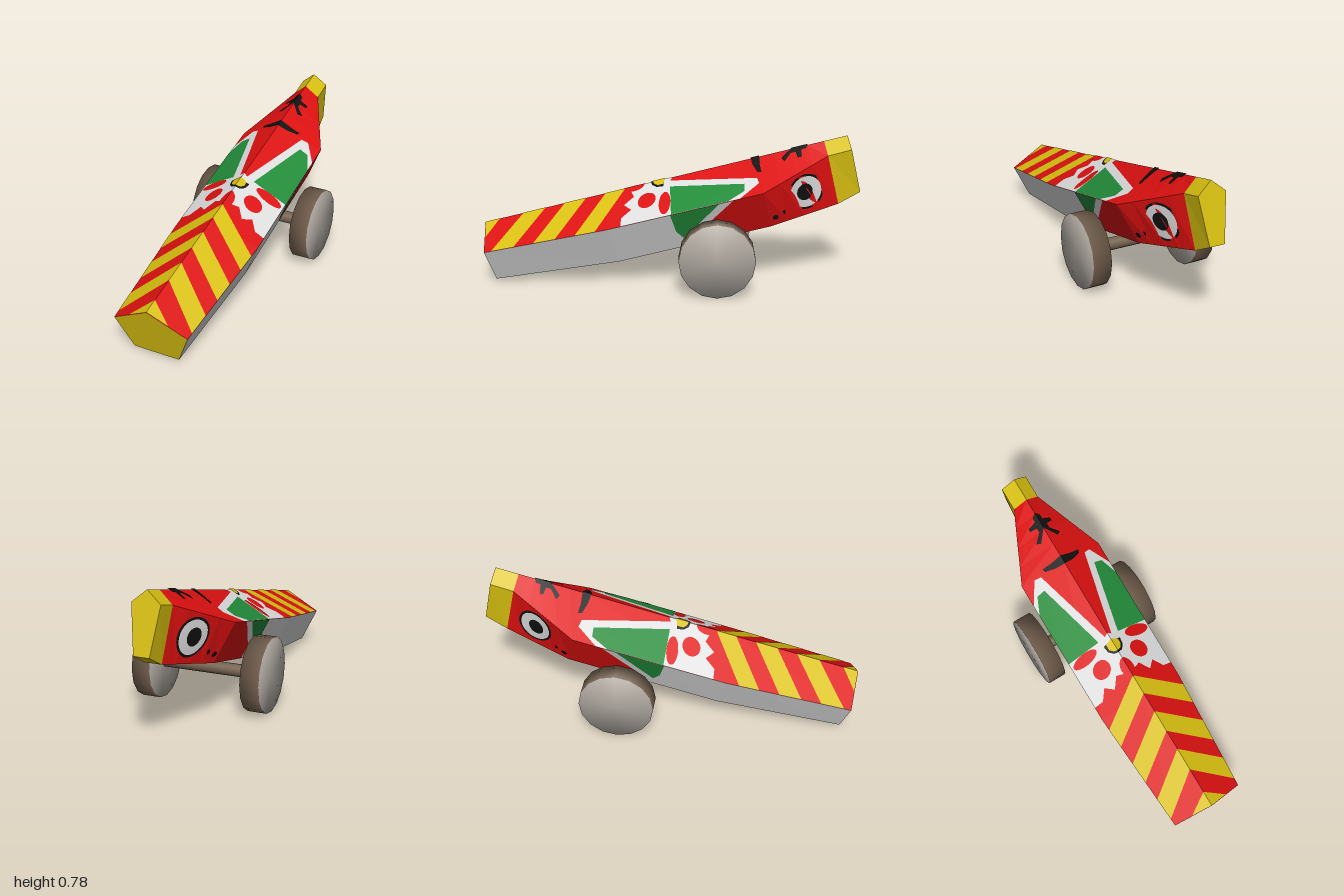
import * as THREE from 'three';
import { mergeVertices } from 'three/addons/utils/BufferGeometryUtils.js';

const COLORS = {
  red: 0xdc1010, yellow: 0xd8c010, green: 0x238c3a, white: 0xdedede,
  black: 0x101010, brown: 0x75614f, hubGrey: 0xb0a9a1,
};

// The body is a tilted prism: s runs along the straight ridge, d is the depth below it.
const TILT = 0.25, C = Math.cos(TILT), S = Math.sin(TILT);
const place = (x, s, d) => [x, 0.29 + s * S - d * C, 1 - s * C - d * S];

// Cross-sections: s, side half width, side depth, belly half width, belly depth
const SECTIONS = [
  [0, 0.2, 0.109, 0.123, 0.288],
  [0.669, 0.24, 0.13, 0.147, 0.342],
  [1.493, 0.24, 0.133, 0.147, 0.342],
  [1.86, 0.073, 0.064, 0.045, 0.338],
  [1.985, 0.073, 0.062, 0.04, 0.303],
];
const SHELL_SPLIT = 1.12, SNOUT = 1.86, END = 1.985;

function sectionAt(s) {
  s = Math.min(Math.max(s, 0), END);
  let i = 0;
  while (i < SECTIONS.length - 2 && s > SECTIONS[i + 1][0]) i++;
  const a = SECTIONS[i], b = SECTIONS[i + 1], t = (s - a[0]) / (b[0] - a[0]);
  return a.map((v, k) => THREE.MathUtils.lerp(v, b[k], t));
}

// Five corners of a section: ridge, side, belly, belly, side
function corners(s) {
  const [, xs, ds, xb, db] = sectionAt(s);
  return [[0, 0], [xs, ds], [xb, db], [-xb, db], [-xs, ds]].map(([x, d]) => place(x, s, d));
}

function fromTriangles(p) {
  const g = new THREE.BufferGeometry();
  g.setAttribute('position', new THREE.Float32BufferAttribute(p.flat(), 3));
  g.computeVertexNormals();
  return g;
}

// Chosen faces (0 and 4 roof, 1 and 3 sides, 2 belly) lofted through stations
function loft(stations, faces) {
  const p = [];
  for (let i = 0; i < stations.length - 1; i++) {
    const A = corners(stations[i]), B = corners(stations[i + 1]);
    for (const f of faces) {
      const n = (f + 1) % 5;
      p.push(A[f], A[n], B[n], A[f], B[n], B[f]);
    }
  }
  return fromTriangles(p);
}

function cap(s, back) {
  const P = corners(s), p = [];
  for (let i = 1; i < 4; i++) p.push(P[0], back ? P[i] : P[i + 1], back ? P[i + 1] : P[i]);
  return fromTriangles(p);
}

// Paint mappings: flat (x, -z) onto the roof, flat (-z, y) onto the side
function onRoof(x, u, lift) {
  let s = (1 + u) / C, d = 0;
  for (let i = 0; i < 3; i++) {
    const [, w, drop] = sectionAt(s);
    x = Math.min(x, w);
    d = drop * x / w;
    s = Math.max((1 + u - d * S) / C, 0);
  }
  return place(x, s, d - lift);
}

function onSide(u, y, lift) {
  const s = (1 + u) * C + (y - 0.29) * S;
  const [, xs, ds, xb, db] = sectionAt(s);
  const d = THREE.MathUtils.clamp((1 + u) * S - (y - 0.29) * C, ds, db);
  return place(THREE.MathUtils.lerp(xs, xb, (d - ds) / (db - ds)) + lift, s, d);
}

// Flat outlines; coordinates are (x, z) on the roof and (z, y) on the side
const roofShape = (pts) => new THREE.ShapeGeometry(new THREE.Shape(pts.map(([x, z]) => new THREE.Vector2(x, -z))));
const sideShape = (pts) => new THREE.ShapeGeometry(new THREE.Shape(pts.map(([z, y]) => new THREE.Vector2(-z, y))));
const disc = (u, v, ru, rv, half = false) =>
  new THREE.RingGeometry(0, 1, half ? 14 : 28, 4, half ? -Math.PI / 2 : 0, half ? Math.PI : Math.PI * 2)
    .scale(ru, rv, 1).translate(u, v, 0);

export function createModel() {
  const model = new THREE.Group();
  model.name = 'wheeledAnimalToy';
  const mat = {};
  for (const [name, color] of Object.entries(COLORS)) {
    mat[name] = new THREE.MeshStandardMaterial({ color });
    mat[name].name = name;
  }
  const add = (name, geometry, material) => {
    const mesh = new THREE.Mesh(geometry, material);
    mesh.name = name;
    model.add(mesh);
    return mesh;
  };

  // Body
  const head = [1.493, 1.585, 1.677, 1.768, SNOUT];
  add('roof', loft([0, 0.669, ...head], [0, 4]), mat.red);
  add('rearShell', loft([0, 0.669, SHELL_SPLIT], [1, 2, 3]), mat.white);
  add('headShell', loft([SHELL_SPLIT, ...head], [1, 2, 3]), mat.red);
  add('lowEnd', cap(0, false), mat.yellow);
  add('snout', loft([SNOUT, END], [0, 1, 2, 3, 4]), mat.yellow);
  add('snoutEnd', cap(END, true), mat.yellow);

  // Mirrored painted plates
  const paint = (name, flat, map, layer, material) => {
    for (const sign of [1, -1]) {
      const g = flat.clone(), pos = g.attributes.position;
      for (let i = 0; i < pos.count; i++) {
        const [x, y, z] = map(pos.getX(i), pos.getY(i), 0.0015 + 0.0015 * layer);
        pos.setXYZ(i, x * sign, y, z);
      }
      if (sign < 0) {
        const a = g.index.array;
        for (let i = 0; i < a.length; i += 3) [a[i], a[i + 1]] = [a[i + 1], a[i]];
      }
      g.computeVertexNormals();
      add(name + (sign > 0 ? 'Left' : 'Right'), g, material);
    }
  };

  // Chevron stripes
  for (const [a, b] of [[0.24, 0.345], [0.45, 0.565], [0.67, 0.79]]) {
    paint('stripe', roofShape([[0, a], [0.24, a + 0.144], [0.24, b + 0.144], [0, b]]), onRoof, 0, mat.yellow);
  }
  paint('endStripe', roofShape([[0, 0.92], [0.105, 0.983], [0, 0.998]]), onRoof, 0, mat.yellow);

  // Chest markings
  paint('chest', roofShape([[0, -0.01], [0.02, 0], [0.135, -0.45], [0.17, -0.46], [0.24, -0.36],
    [0.24, 0.25], [0.19, 0.25], [0.15, 0.2], [0.11, 0.24], [0.07, 0.19], [0, 0.22]]), onRoof, 0, mat.white);
  paint('wing', roofShape([[0.06, 0], [0.155, -0.385], [0.2, -0.385], [0.24, -0.3], [0.24, -0.01]]), onRoof, 1, mat.green);
  paint('upperSpot', disc(0.16, -0.025, 0.07, 0.03), onRoof, 2, mat.red);
  paint('spot', disc(0.115, -0.12, 0.047, 0.047), onRoof, 1, mat.red);
  paint('middleSpot', disc(0, -0.19, 0.036, 0.055, true), onRoof, 1, mat.red);
  paint('badgeOutline', roofShape([[0, 0.03], [0.05, 0.035], [0.045, 0.07], [0.025, 0.095], [0, 0.103]]), onRoof, 2, mat.black);
  paint('badge', roofShape([[0, 0.025], [0.036, 0.035], [0.036, 0.065], [0.02, 0.085], [0, 0.092]]), onRoof, 3, mat.yellow);

  // Mouth and nose marks
  paint('mouth', roofShape([[0, -0.468], [0.06, -0.468], [0.11, -0.475], [0.105, -0.455],
    [0.05, -0.432], [0, -0.422]]), onRoof, 3, mat.black);
  paint('noseMark', roofShape([[0, -0.72], [0.022, -0.71], [0.022, -0.685], [0.065, -0.682], [0.065, -0.665],
    [0.03, -0.655], [0.03, -0.63], [0.072, -0.595], [0.05, -0.58], [0, -0.635]]), onRoof, 3, mat.black);

  // Side markings
  paint('sideBand', sideShape([[-0.1, 0.46], [-0.32, 0.52], [-0.15, 0.3], [-0.1, 0.3]]), onSide, 0, mat.white);
  paint('sideWing', sideShape([[0, 0.43], [-0.25, 0.5], [-0.075, 0.267], [-0.035, 0.31]]), onSide, 1, mat.green);

  // Eyes and small dots
  paint('eyeOutline', disc(0.706, 0.508, 0.095, 0.098), onSide, 0, mat.black);
  paint('eyeWhite', disc(0.706, 0.508, 0.083, 0.086), onSide, 1, mat.white);
  paint('pupil', disc(0.7, 0.508, 0.042, 0.046), onSide, 2, mat.black);
  paint('cheekDot', disc(0.55, 0.38, 0.015, 0.014), onSide, 1, mat.black);
  paint('cheekDotSmall', disc(0.593, 0.405, 0.009, 0.013), onSide, 1, mat.black);

  // Wheels and axle
  const rounded = (r, length) => {
    const g = new THREE.CylinderGeometry(r, r, length, 16);
    g.deleteAttribute('normal');
    g.deleteAttribute('uv');
    const m = mergeVertices(g);
    m.rotateZ(Math.PI / 2);
    m.computeVertexNormals();
    return m;
  };
  for (const sign of [1, -1]) {
    add(sign > 0 ? 'wheelLeft' : 'wheelRight', rounded(0.197, 0.1), [mat.brown, mat.hubGrey, mat.hubGrey])
      .position.set(sign * 0.297, 0.197, -0.247);
  }
  add('axle', rounded(0.033, 0.52), mat.brown).position.set(0, 0.197, -0.247);

  return model;
}
